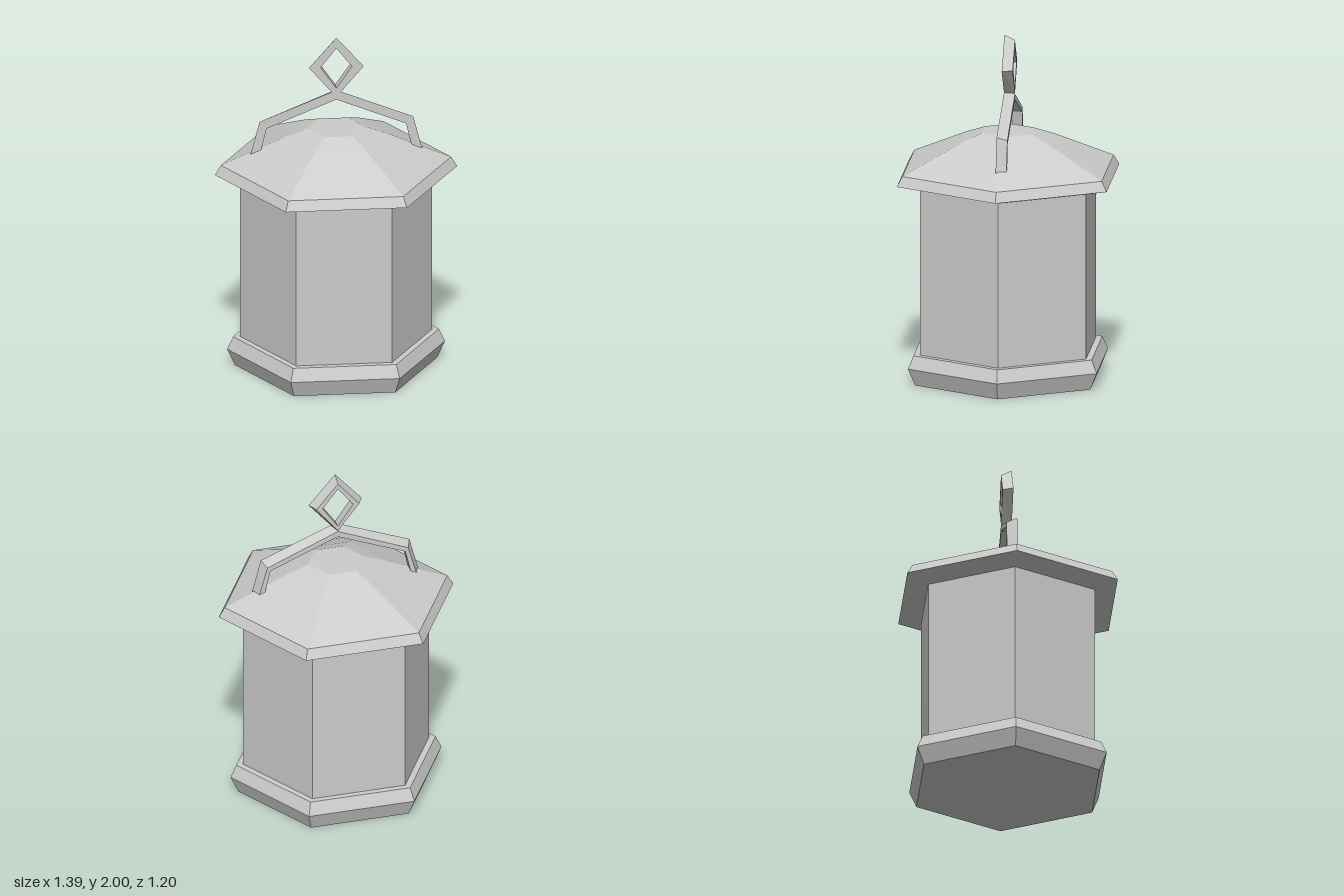
import * as THREE from 'three';

const grey = new THREE.MeshStandardMaterial({ color: 0xcccccc, flatShading: true });
grey.name = 'plain grey';

// Six-sided part from a bottom-to-top profile of [corner radius, height]
function hexPart(name, profile) {
  const points = profile.map(([r, y]) => new THREE.Vector2(r, y));
  const geometry = new THREE.LatheGeometry(points, 6).rotateY(Math.PI / 2).toNonIndexed();
  geometry.computeVertexNormals();
  const mesh = new THREE.Mesh(geometry, grey);
  mesh.name = name;
  return mesh;
}

// Bar running clockwise along a path; its outer edge is bevelled inwards towards the back.
// Each station is [outer front, outer back, inner] as x, y pairs.
function bevelledBar(name, stations, closed) {
  const zFront = 0.02, zBack = -0.04;
  const rings = stations.map(([of, ob, inn]) => [
    [...of, zFront], [...ob, zBack], [...inn, zBack], [...inn, zFront],
  ]);
  const positions = [];
  const quad = (a, b, c, d) => positions.push(...a, ...b, ...c, ...a, ...c, ...d);
  const spans = closed ? rings.length : rings.length - 1;
  for (let i = 0; i < spans; i++) {
    const p = rings[i], q = rings[(i + 1) % rings.length];
    for (let j = 0; j < 4; j++) {
      const k = (j + 1) % 4;
      quad(p[j], q[j], q[k], p[k]);
    }
  }
  if (!closed) {
    const s = rings[0], e = rings[rings.length - 1];
    quad(s[0], s[1], s[2], s[3]);
    quad(e[3], e[2], e[1], e[0]);
  }
  const geometry = new THREE.BufferGeometry();
  geometry.setAttribute('position', new THREE.Float32BufferAttribute(positions, 3));
  geometry.computeVertexNormals();
  const mesh = new THREE.Mesh(geometry, grey);
  mesh.name = name;
  return mesh;
}

const mirrored = (station) => station.map(([x, y]) => [-x, y]);

export function createModel() {
  const lantern = new THREE.Group();
  lantern.name = 'lantern';

  // Base, body and roof
  lantern.add(
    hexPart('base', [[0, 0], [0.58, 0], [0.625, 0.1], [0.59, 0.175], [0, 0.175]]),
    hexPart('body', [[0.55, 0.17], [0.55, 1.145]]),
    hexPart('roof', [[0, 1.14], [0.55, 1.14], [0.695, 1.175], [0.66, 1.233], [0.3, 1.39], [0.165, 1.44], [0, 1.44]]),
  );

  // Carrying arch, its feet sunk into the roof
  const foot = [[-0.495, 1.29], [-0.47, 1.29], [-0.439, 1.29]];
  const shoulder = [[-0.44, 1.5], [-0.417, 1.48], [-0.4, 1.457]];
  const peak = [[0, 1.678], [0, 1.655], [0, 1.62]];
  lantern.add(bevelledBar('handleArch', [foot, shoulder, peak, mirrored(shoulder), mirrored(foot)], false));

  // Diamond-shaped hanging ring
  const side = [[-0.157, 1.82], [-0.127, 1.82], [-0.09, 1.82]];
  lantern.add(bevelledBar('hangingRing', [
    side,
    [[0, 2], [0, 1.97], [0, 1.935]],
    mirrored(side),
    [[0, 1.635], [0, 1.66], [0, 1.69]],
  ], true));

  return lantern;
}
